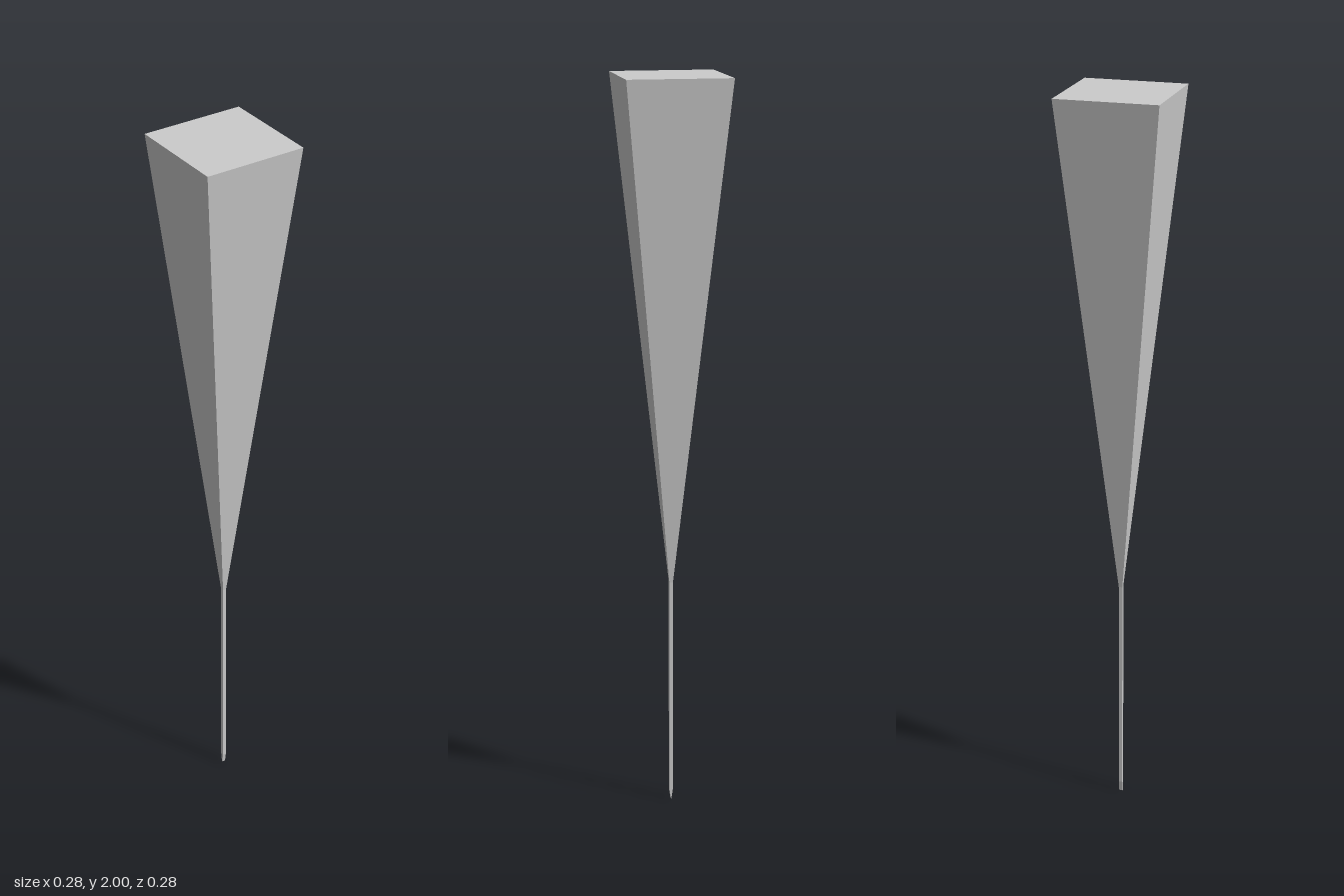
import * as THREE from 'three';

const HALF = 0.005; // half width of the stem
const TOP = 0.14; // half width of the head's top
const TIP_Y = 0.03, HEAD_Y = 0.63, TOP_Y = 2;

export function createModel() {
  const group = new THREE.Group();
  const material = new THREE.MeshStandardMaterial({ color: 0xcccccc, flatShading: true });

  // Four-sided tapered block between two heights, aligned to the axes
  const block = (name, y0, half0, y1, half1) => {
    const geometry = new THREE.CylinderGeometry(half1 * Math.SQRT2, half0 * Math.SQRT2, y1 - y0, 4);
    geometry.rotateY(Math.PI / 4).translate(0, (y0 + y1) / 2, 0);
    const mesh = new THREE.Mesh(geometry, material);
    mesh.name = name;
    group.add(mesh);
    return mesh;
  };

  // Flared head on a thin square stem
  block('head', HEAD_Y, HALF, TOP_Y, TOP);
  block('stem', TIP_Y, HALF, HEAD_Y, HALF);

  // Chisel tip: the lower end is pinched in depth to an edge along x
  const tip = block('tip', 0, HALF, TIP_Y, HALF);
  const position = tip.geometry.attributes.position;
  for (let i = 0; i < position.count; i++) {
    if (position.getY(i) < TIP_Y / 2) position.setZ(i, position.getZ(i) * 0.1);
  }
  tip.geometry.computeVertexNormals();

  return group;
}
